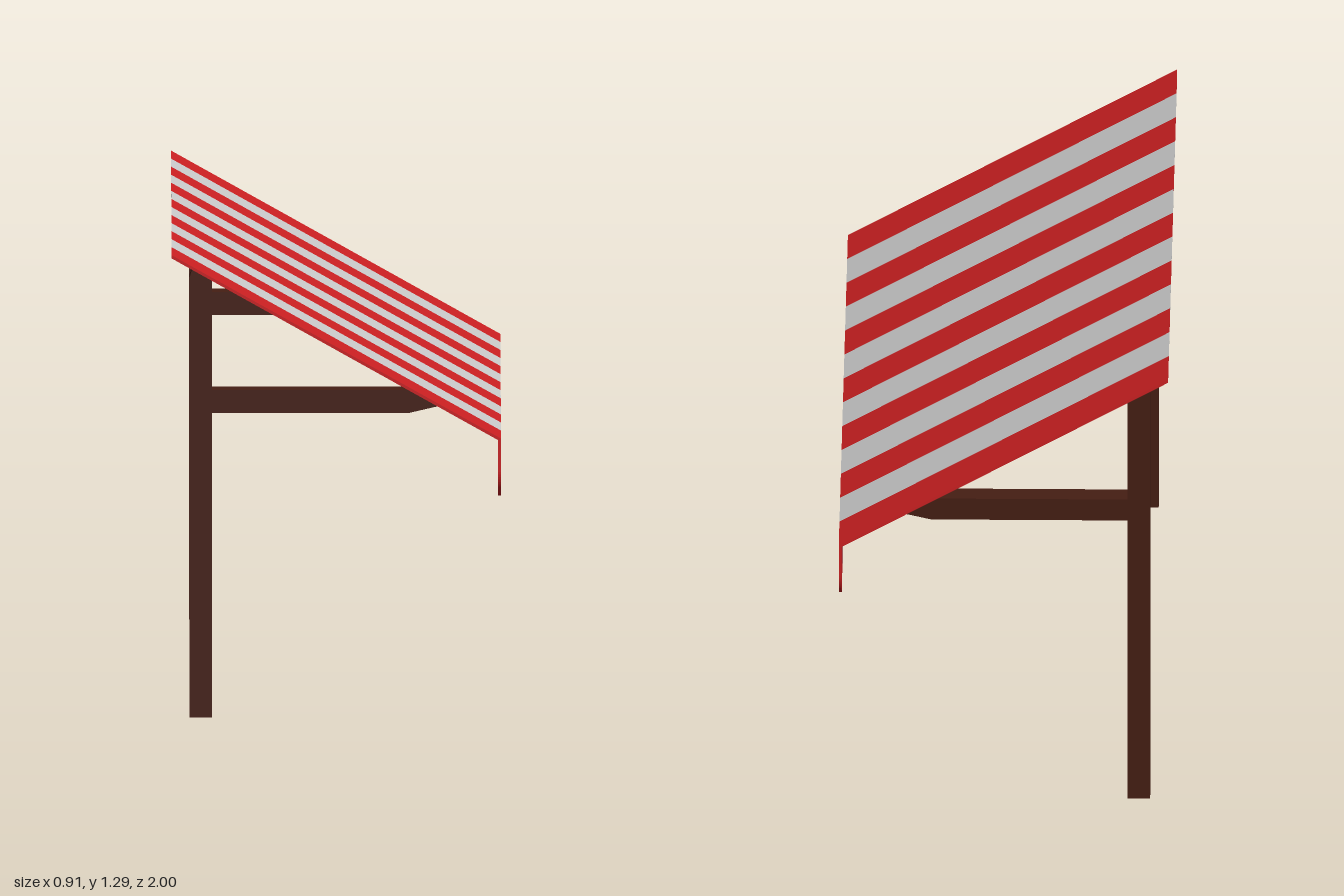
import * as THREE from 'three';

const STRIPES = 13;
const WIDTH = 2 / STRIPES;

const red = new THREE.MeshStandardMaterial({ color: 0xcc2022 });
const grey = new THREE.MeshStandardMaterial({ color: 0xcccccc });
const wood = new THREE.MeshStandardMaterial({ color: 0x451e13 });

// Extrude an x-y outline along z, centred on z = 0
function profile(points, depth) {
  const shape = new THREE.Shape(points.map(([x, y]) => new THREE.Vector2(x, y)));
  return new THREE.ExtrudeGeometry(shape, { depth, bevelEnabled: false }).translate(0, 0, -depth / 2);
}

// Hanging flap with a half-round lower edge, facing +x
function flapGeometry() {
  const r = WIDTH / 2, top = 0.782, bottom = 0.613;
  const shape = new THREE.Shape();
  shape.moveTo(r, top);
  shape.lineTo(-r, top);
  shape.lineTo(-r, bottom + r);
  shape.absarc(0, bottom + r, r, Math.PI, Math.PI * 2, false);
  shape.lineTo(r, top);
  return new THREE.ExtrudeGeometry(shape, { depth: 0.008, bevelEnabled: false, curveSegments: 16 })
    .rotateY(Math.PI / 2).translate(0.447, 0, 0);
}

function add(parent, name, geometry, material, z) {
  const mesh = new THREE.Mesh(geometry, material);
  mesh.name = name;
  mesh.position.z = z;
  parent.add(mesh);
}

export function createModel() {
  const model = new THREE.Group();
  model.name = 'awning';

  // Striped sloping cloth and scalloped valance
  const canopy = new THREE.Group();
  canopy.name = 'canopy';
  const cloth = profile([[-0.455, 1.295], [-0.455, 1.286], [0.455, 0.774], [0.455, 0.783]], WIDTH);
  const flap = flapGeometry();
  for (let i = 0; i < STRIPES; i++) {
    const z = -1 + (i + 0.5) * WIDTH;
    const material = i % 2 ? grey : red;
    add(canopy, 'clothStripe', cloth, material, z);
    add(canopy, 'valanceFlap', flap, material, z);
  }
  model.add(canopy);

  // Posts and arms cut to the slope of the cloth
  const post = profile([[-0.405, 0], [-0.343, 0], [-0.343, 1.228], [-0.392, 1.256], [-0.399, 1.25], [-0.405, 1.23]], 0.065);
  const arm = profile([[-0.345, 0.85], [0.2, 0.85], [0.29, 0.871], [0.215, 0.914], [-0.345, 0.914]], 0.065);
  for (const side of [-1, 1]) {
    const support = new THREE.Group();
    support.name = side > 0 ? 'frontSupport' : 'backSupport';
    add(support, 'post', post, wood, side * 0.9375);
    add(support, 'arm', arm, wood, side * 0.9375);
    model.add(support);
  }
  return model;
}
